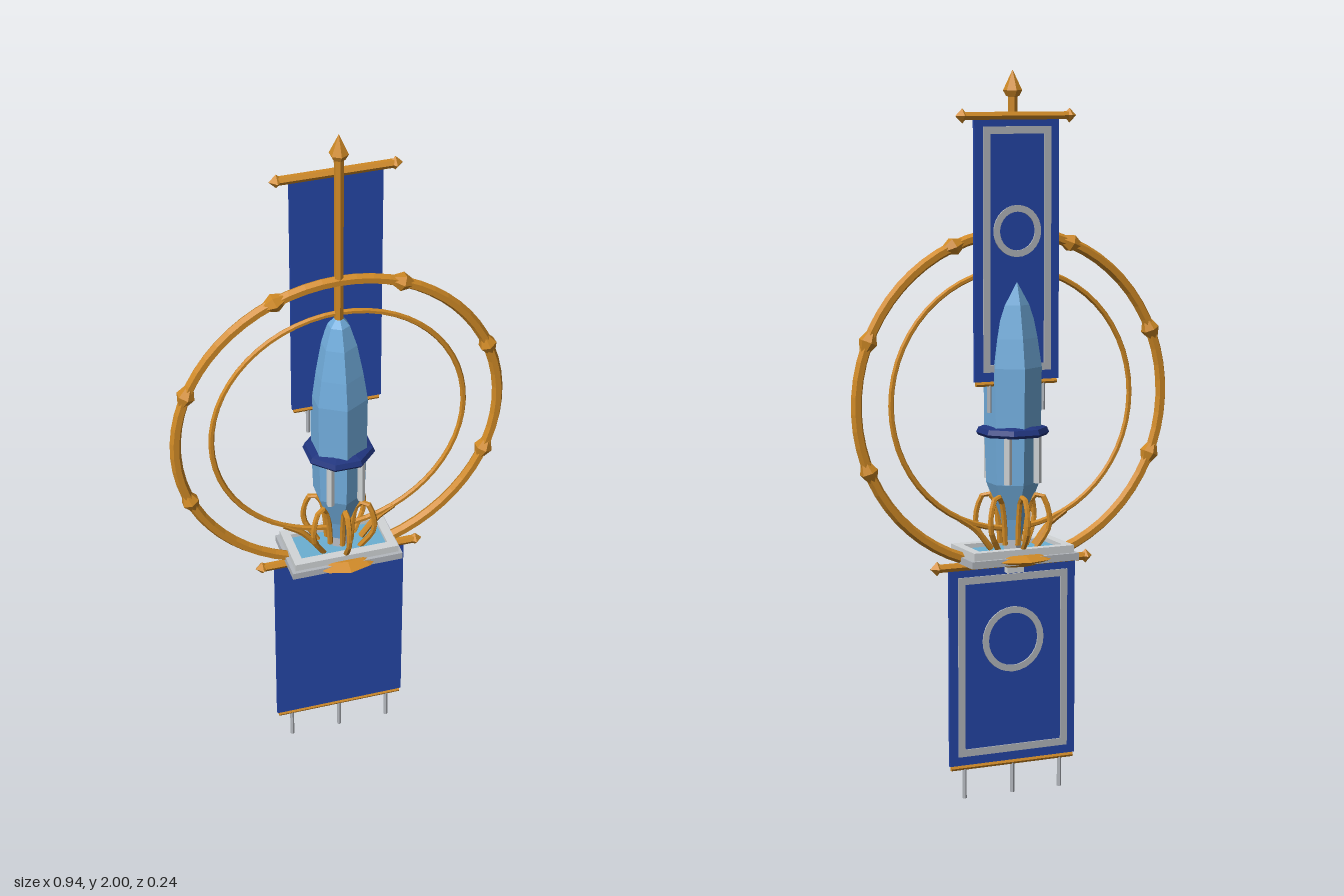
import * as THREE from 'three';

const mat = (name, color) => {
  const m = new THREE.MeshStandardMaterial({ color });
  m.name = name;
  return m;
};

export function createModel() {
  const gold = mat('gold', 0xd08a26);
  const royal = mat('royal blue', 0x2546a8);
  const navy = mat('navy', 0x20357f);
  const sky = mat('sky blue', 0x72aede);
  const teal = mat('tray blue', 0x6bb0d2);
  const silver = mat('silver', 0xb4b8be);
  const pale = mat('pale silver', 0xd2d6d8);

  const model = new THREE.Group();
  model.name = 'rocketStandard';

  // Adds a faceted mesh
  const add = (name, geo, material, x = 0, y = 0, z = 0, parent = model) => {
    const g = geo.index ? geo.toNonIndexed() : geo;
    g.computeVertexNormals();
    const mesh = new THREE.Mesh(g, material);
    mesh.name = name;
    mesh.position.set(x, y, z);
    parent.add(mesh);
    return mesh;
  };
  const box = (w, h, d) => new THREE.BoxGeometry(w, h, d);
  const cyl = (rt, rb, h, n = 6) => new THREE.CylinderGeometry(rt, rb, h, n);
  const lathe = (pts, n) => new THREE.LatheGeometry(pts.map(p => new THREE.Vector2(...p)), n);
  const tube = (pts, r, seg = 10) => new THREE.TubeGeometry(
    new THREE.CatmullRomCurve3(pts.map(p => new THREE.Vector3(...p))), seg, r, 6);

  // Thin picture-frame plate
  const frame = (w, h, t, depth) => {
    const rect = (C, a, b) => new C([[-a, -b], [a, -b], [a, b], [-a, b]].map(p => new THREE.Vector2(...p)));
    const s = rect(THREE.Shape, w / 2, h / 2);
    s.holes.push(rect(THREE.Path, w / 2 - t, h / 2 - t));
    return new THREE.ExtrudeGeometry(s, { depth, bevelEnabled: false });
  };
  const disc = (outer, inner, depth) => {
    const s = new THREE.Shape().absarc(0, 0, outer, 0, Math.PI * 2);
    s.holes.push(new THREE.Path().absarc(0, 0, inner, 0, Math.PI * 2, true));
    return new THREE.ExtrudeGeometry(s, { depth, bevelEnabled: false, curveSegments: 14 });
  };

  // Hanging banner: cloth, rods, border and plain roundel on the back, tassels
  const banner = (name, o) => {
    const g = new THREE.Group();
    g.name = name;
    model.add(g);
    g.position.z = o.z;
    const h = o.top - o.bottom, mid = (o.top + o.bottom) / 2;
    add('cloth', box(o.w, h, 0.01), royal, 0, mid, 0, g);
    add('border', frame(o.w - 0.05, h - 0.05, 0.02, 0.004), silver, 0, mid, -0.009, g);
    add('roundel', disc(o.ring, o.ring - 0.018, 0.004), silver, 0, o.ringY, -0.009, g);
    add('topRod', cyl(0.012, 0.012, o.rod * 2), gold, 0, o.rodY, 0, g).rotation.z = Math.PI / 2;
    add('bottomRod', cyl(0.007, 0.007, o.w - 0.01), gold, 0, o.bottom - 0.007, 0, g).rotation.z = Math.PI / 2;
    for (const s of [-1, 1]) {
      const knob = new THREE.OctahedronGeometry(0.02);
      add('rodKnob', knob, gold, s * o.rod, o.rodY, 0, g);
    }
    for (const x of o.tassels)
      add('tassel', cyl(0.006, 0.006, o.tasselH), silver, x, o.bottom - 0.01 - o.tasselH / 2, 0, g);
  };
  banner('lowerBanner', {
    w: 0.38, top: 0.65, bottom: 0.095, z: 0.003, rod: 0.225, rodY: 0.655,
    ring: 0.092, ringY: 0.44, tassels: [-0.145, 0, 0.145], tasselH: 0.085,
  });
  banner('upperBanner', {
    w: 0.25, top: 1.875, bottom: 1.165, z: -0.024, rod: 0.158, rodY: 1.878,
    ring: 0.07, ringY: 1.57, tassels: [-0.08, 0.08], tasselH: 0.075,
  });

  // Spear pole and tip
  add('pole', cyl(0.013, 0.013, 0.51), gold, 0, 1.685);
  add('spearTip', lathe([[0, 1.925], [0.018, 1.93], [0.026, 1.945], [0, 2]], 6), gold);

  // Outer hoop, open at the base, with double-cone collars
  const cy = 1.11, R = 0.456, gap = 0.33;
  const hoop = new THREE.TorusGeometry(R, 0.0155, 6, 56, Math.PI * 2 - gap * 2);
  hoop.rotateZ(-Math.PI / 2 + gap);
  add('outerHoop', hoop, gold, 0, cy);
  for (const deg of [-22.5, 22.5, 67.5, 112.5, 157.5, 202.5]) {
    const a = deg * Math.PI / 180;
    const collar = lathe([[0.012, -0.03], [0.026, 0], [0.012, 0.03]], 6);
    add('hoopCollar', collar, gold, R * Math.cos(a), cy + R * Math.sin(a)).rotation.z = a;
  }
  add('innerHoop', new THREE.TorusGeometry(0.357, 0.008, 6, 56), gold, 0, cy);
  for (const s of [-1, 1])
    add('hoopStrut', tube([[s * 0.16, 0.79, 0], [s * 0.11, 0.755, 0], [s * 0.065, 0.7, 0]], 0.009), gold);

  // Six-sided rocket
  add('rocketBody', lathe([
    [0, 0.72], [0.022, 0.72], [0.035, 0.78], [0.073, 0.88], [0.078, 1.02], [0.08, 1.2],
    [0.068, 1.28], [0.05, 1.37], [0.03, 1.43], [0, 1.465],
  ], 6), sky);
  add('rocketCollar', lathe([[0.07, 1.012], [0.094, 1.012], [0.1, 1.02], [0.094, 1.034], [0.07, 1.04]], 8)
    .rotateY(Math.PI / 8), navy);
  for (const x of [-0.044, 0.044]) for (const z of [-0.066, 0.066])
    add('thruster', cyl(0.011, 0.011, 0.13), pale, x, 0.95, z);
  add('exhaustPost', cyl(0.02, 0.026, 0.06), silver, 0, 0.715);

  // Six bent claws holding the rocket
  for (let i = 0; i < 6; i++) {
    const claw = tube([[0, 0.69, 0.06], [0, 0.755, 0.1], [0, 0.8, 0.1], [0, 0.848, 0.078],
      [0, 0.84, 0.055], [0, 0.78, 0.04], [0, 0.71, 0.035]], 0.008, 14);
    add('claw', claw, gold).rotation.y = i * Math.PI / 3;
  }

  // Base tray with gold boss and clasp
  add('trayFoot', box(0.32, 0.02, 0.18), silver, 0, 0.675);
  const rim = frame(0.3, 0.16, 0.025, 0.026).rotateX(-Math.PI / 2);
  add('trayRim', rim, pale, 0, 0.68);
  add('trayFloor', box(0.26, 0.012, 0.12), teal, 0, 0.688);
  add('baseBoss', lathe([[0, 0.652], [0.07, 0.655], [0.121, 0.676], [0.09, 0.69], [0, 0.69]], 12), gold);
  add('clasp', box(0.05, 0.03, 0.04), pale, 0, 0.645);

  return model;
}
